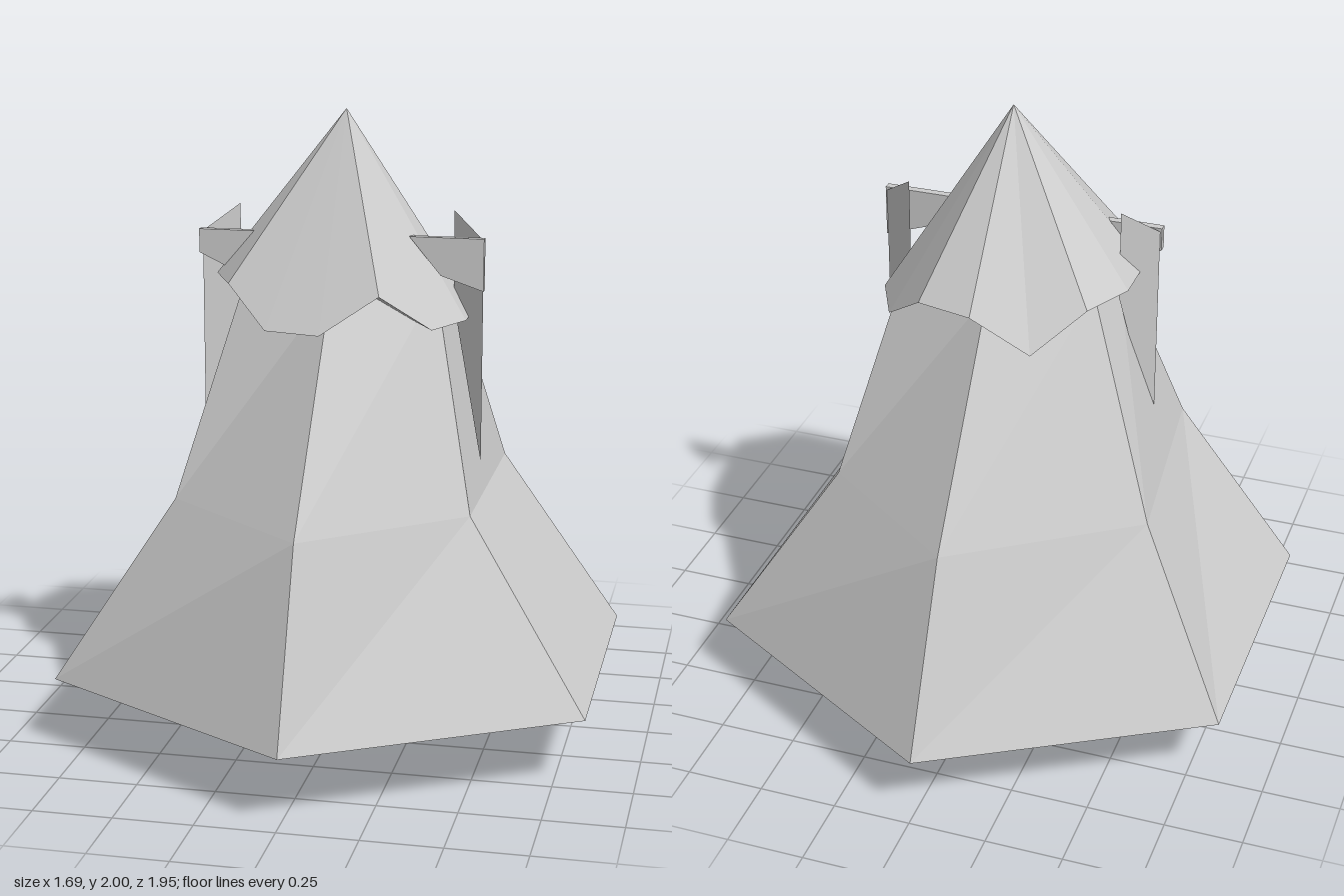
import * as THREE from 'three';

const grey = new THREE.MeshStandardMaterial({ color: 0xcccccc, flatShading: true });
grey.name = 'light grey';
const greyBlade = grey.clone();
greyBlade.name = 'light grey two-sided';
greyBlade.side = THREE.DoubleSide;
const greySmooth = grey.clone();
greySmooth.name = 'light grey smooth';
greySmooth.flatShading = false;

// faceted geometry from a list of corner-point triangles
function facets(tris) {
  const g = new THREE.BufferGeometry();
  g.setAttribute('position', new THREE.Float32BufferAttribute(tris.flat(2), 3));
  g.computeVertexNormals();
  return g;
}

function add(parent, name, geometry, material = grey) {
  const m = new THREE.Mesh(geometry, material);
  m.name = name;
  parent.add(m);
  return m;
}

// lower foliage: three hexagonal rings, each counted from the front towards +x
function skirtGeometry() {
  const base = [], tris = [];
  for (let i = 0; i < 6; i++) {
    const a = (i * Math.PI) / 3;
    base.push([0.977 * Math.sin(a), 0.22, 0.977 * Math.cos(a)]);
  }
  const y = 0.81, t = 1.47;
  const middle = [[0, y, 0.75], [0.465, y, 0.37], [0.465, y, -0.37],
    [0, y, -0.71], [-0.55, y, -0.33], [-0.47, y, 0.37]];
  const top = [[0, t, 0.24], [0.31, t, 0.12], [0.31, t, -0.12],
    [0, t, -0.25], [-0.3, t, -0.12], [-0.3, t, 0.12]];
  for (let i = 0; i < 6; i++) {
    const j = (i + 1) % 6;
    for (const [lo, hi] of [[base, middle], [middle, top]]) {
      tris.push([lo[i], lo[j], hi[j]], [lo[i], hi[j], hi[i]]);
    }
    tris.push([[0, 0.22, 0], base[j], base[i]], [[0, t, 0], top[i], top[j]]);
  }
  return facets(tris);
}

// upper foliage: fourteen-sided cone with an uneven rim
function crownGeometry() {
  const n = 14, lowered = [0, 2, 3, 4, 5, 8, 13], tris = [];
  const rim = Array.from({ length: n }, (_, i) => {
    const a = (i * 2 * Math.PI) / n;
    return [0.41 * Math.sin(a), lowered.includes(i) ? 1.36 : 1.48, 0.41 * Math.cos(a)];
  });
  for (let i = 0; i < n; i++) {
    const j = (i + 1) % n;
    tris.push([rim[i], rim[j], [0, 2, 0]], [rim[j], rim[i], [0, 1.44, 0]]);
  }
  return facets(tris);
}

// side ornament: a thin plate with a hanging blade behind it
function ornament(side) {
  const g = new THREE.Group();
  g.name = side > 0 ? 'leftOrnament' : 'rightOrnament';
  const outline = side > 0
    ? [[0.22, 1.62], [0.32, 1.5], [0.455, 1.455], [0.455, 1.62]]
    : [[-0.455, 1.62], [-0.455, 1.545], [-0.36, 1.5], [-0.27, 1.62]];
  const shape = new THREE.Shape(outline.map(([x, y]) => new THREE.Vector2(x, y)));
  const plate = new THREE.ExtrudeGeometry(shape, { depth: 0.025, bevelEnabled: false });
  add(g, 'ornamentPlate', plate.translate(0, 0, 0.075));
  const x = side * 0.45, xi = side * 0.345;
  const tip = [x, 0.9, 0.073], outer = [x, 1.61, 0.073];
  const peak = [xi, 1.69, 0], inner = [xi, 1.4, 0];
  add(g, 'ornamentBlade', facets([[tip, outer, peak], [tip, peak, inner]]), greyBlade);
  return g;
}

export function createModel() {
  const model = new THREE.Group();
  model.name = 'stylisedTree';

  add(model, 'trunk', new THREE.CylinderGeometry(0.243, 0.243, 0.23, 6)).position.y = 0.115;
  add(model, 'lowerFoliage', skirtGeometry());
  add(model, 'upperFoliage', crownGeometry());

  // rounded lumps around the trunk: x, y, z, radius
  const lumps = new THREE.Group();
  lumps.name = 'roundLumps';
  model.add(lumps);
  const spots = [[0.275, 0.185, 0, 0.107], [0.14, 0.185, 0.135, 0.1],
    [0.25, 0.18, 0.09, 0.095], [0.16, 0.185, -0.15, 0.085]];
  for (const side of [-1, 1]) {
    for (const [x, y, z, r] of spots) {
      add(lumps, 'lump', new THREE.SphereGeometry(r, 20, 14), greySmooth).position.set(side * x, y, z);
    }
    model.add(ornament(side));
  }
  return model;
}
